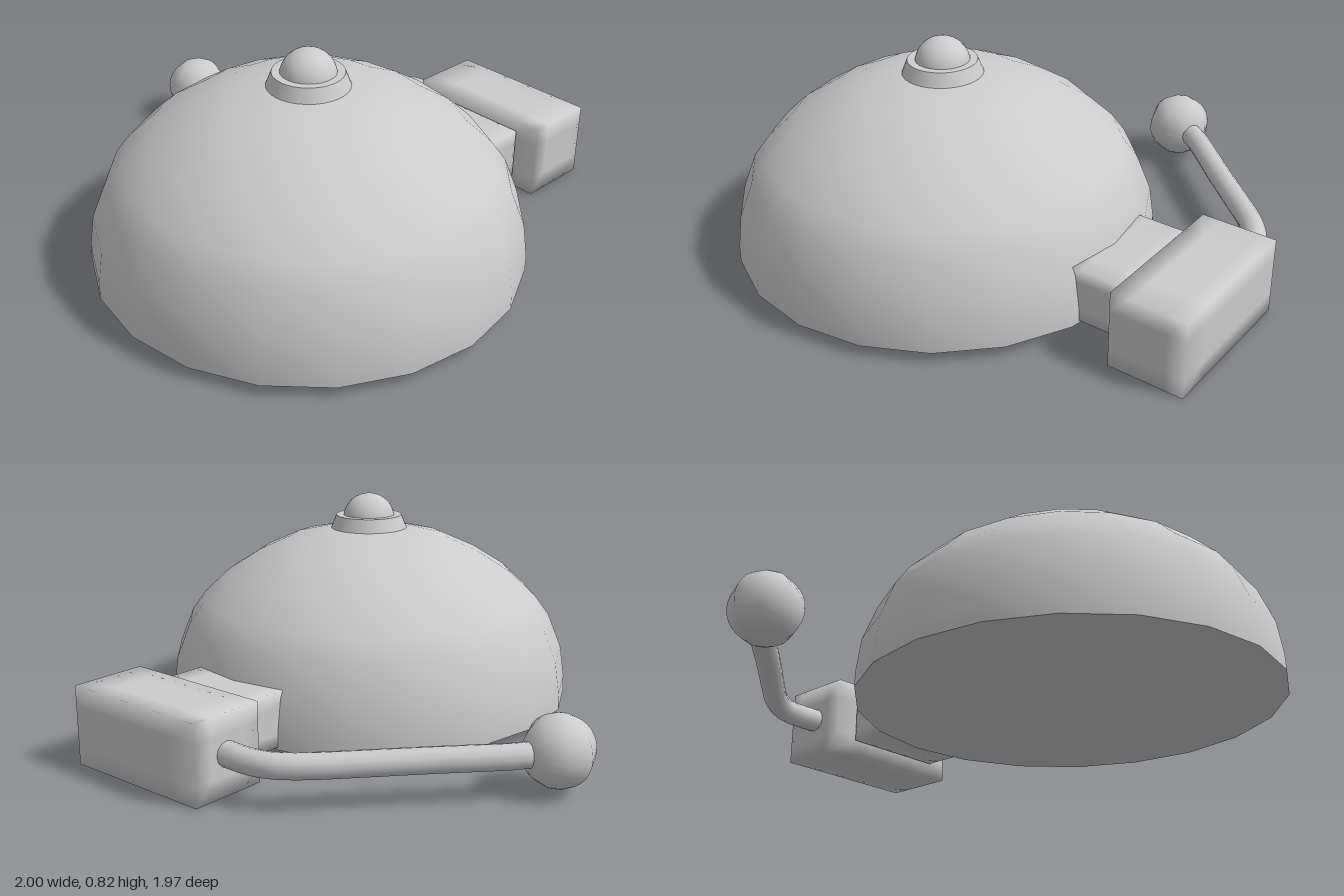
import * as THREE from 'three';
import { mergeVertices } from 'three/addons/utils/BufferGeometryUtils.js';

const material = new THREE.MeshStandardMaterial({ color: 0xcccccc });
const DOME_X = 0.225, DOME_Z = 0.21;

function add(group, name, geometry, x = 0, y = 0, z = 0) {
  const mesh = new THREE.Mesh(geometry, material);
  mesh.name = name;
  mesh.position.set(x, y, z);
  group.add(mesh);
  return mesh;
}

// Sharp outline with softly blended shading across the edges
function softBox(w, h, d) {
  const box = new THREE.BoxGeometry(w, h, d, 5, 4, 4);
  box.deleteAttribute('normal');
  box.deleteAttribute('uv');
  const merged = mergeVertices(box);
  merged.computeVertexNormals();
  return merged;
}

function lathe(points, sides) {
  return new THREE.LatheGeometry(points.map(([r, y]) => new THREE.Vector2(r, y)), sides);
}

export function createModel() {
  const model = new THREE.Group();
  model.name = 'alarmBell';

  // Gong dome and its flat underside
  add(model, 'dome', lathe([
    [0.775, 0.04], [0.774, 0.1], [0.757, 0.22], [0.705, 0.35], [0.65, 0.425],
    [0.555, 0.515], [0.43, 0.595], [0.3, 0.655], [0.15, 0.69], [0, 0.7],
  ], 20), DOME_X, 0, DOME_Z);
  const base = add(model, 'domeBase', new THREE.CircleGeometry(0.775, 20), DOME_X, 0.04, DOME_Z);
  base.rotation.x = Math.PI / 2;

  // Centre washer and rounded nut
  add(model, 'washer', new THREE.CylinderGeometry(0.126, 0.15, 0.06, 32), DOME_X, 0.71, DOME_Z);
  add(model, 'nut', new THREE.SphereGeometry(0.1, 24, 12, 0, Math.PI * 2, 0, Math.PI / 2), DOME_X, 0.722, DOME_Z);

  // Mechanism housing and the bracket joining it to the dome
  add(model, 'housing', softBox(0.59, 0.285, 0.28), 0.225, 0.1425, -0.847);
  add(model, 'bracket', softBox(0.415, 0.2, 0.22), 0.2225, 0.15, -0.587);

  // Curved striker arm
  const path = new THREE.CatmullRomCurve3([
    [-0.05, -0.848], [-0.16, -0.85], [-0.245, -0.83], [-0.335, -0.765], [-0.45, -0.645],
    [-0.6, -0.483], [-0.72, -0.358], [-0.8, -0.27], [-0.86, -0.17],
  ].map(([x, z]) => new THREE.Vector3(x, 0.145, z)));
  add(model, 'strikerArm', new THREE.TubeGeometry(path, 24, 0.044, 12));

  // Striker ball
  add(model, 'strikerBall', new THREE.SphereGeometry(0.125, 8, 16), -0.875, 0.145, -0.15);

  return model;
}
